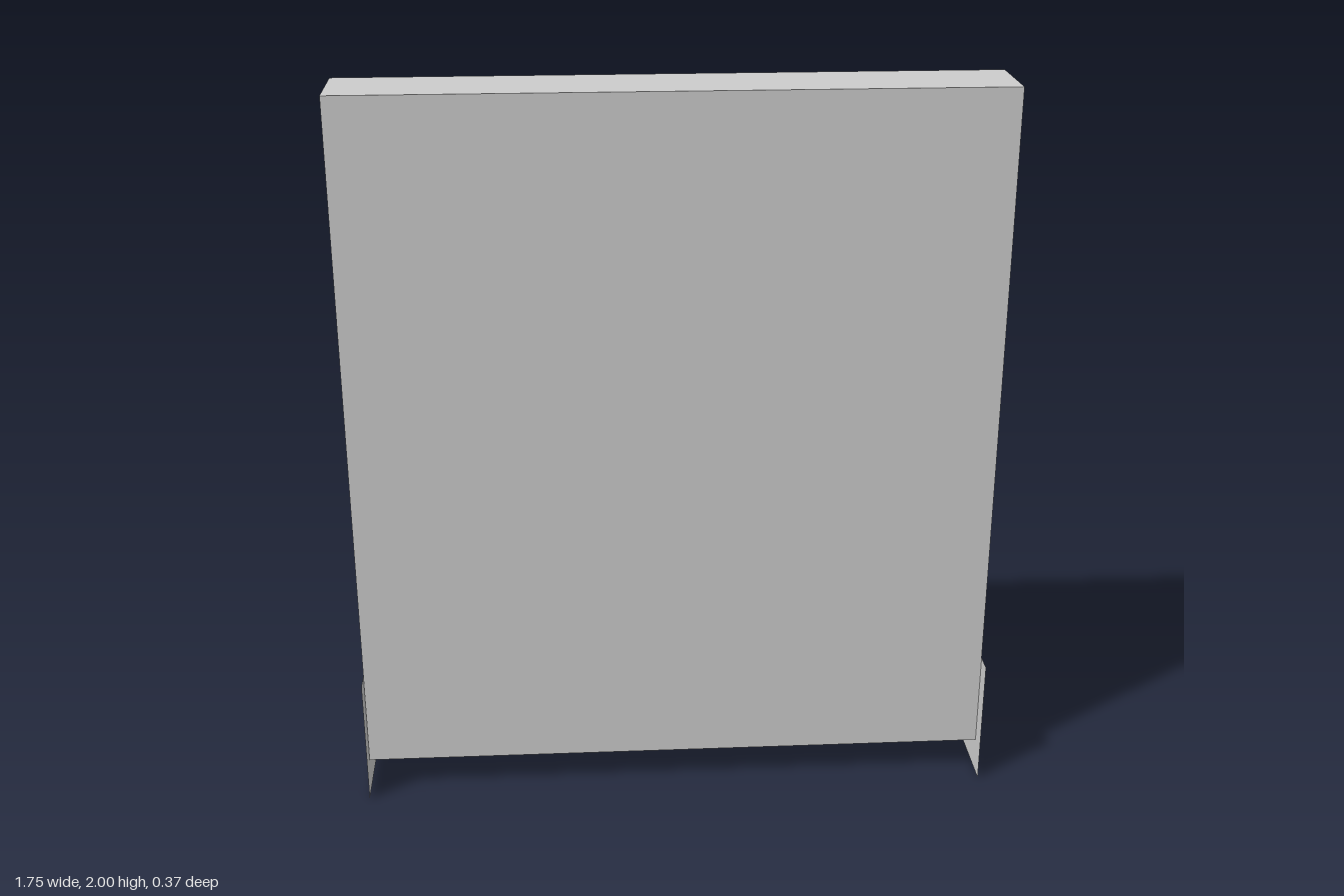
import * as THREE from 'three';

const HALF_WIDTH = 0.875;

export function createModel() {
  const group = new THREE.Group();
  const material = new THREE.MeshStandardMaterial({ color: 0xcccccc, flatShading: true });
  const thin = new THREE.MeshStandardMaterial({ color: 0xcccccc, side: THREE.DoubleSide });

  // Upright slab made of a front and a back panel, raised off the ground
  const bottom = 0.095, top = 2;
  const addPanel = (name, zBack, zFront) => {
    const geometry = new THREE.BoxGeometry(HALF_WIDTH * 2, top - bottom, zFront - zBack);
    const panel = new THREE.Mesh(geometry, material);
    panel.name = name;
    panel.position.set(0, (top + bottom) / 2, (zFront + zBack) / 2);
    group.add(panel);
  };
  addPanel('frontPanel', 0.015, 0.13);
  addPanel('backPanel', -0.088, 0.015);

  // Paper-thin foot plates flush with both ends
  for (const side of [-1, 1]) {
    const foot = new THREE.Mesh(new THREE.PlaneGeometry(0.366, 0.365), thin);
    foot.name = side > 0 ? 'leftFoot' : 'rightFoot';
    foot.rotation.y = side * Math.PI / 2;
    foot.position.set(side * (HALF_WIDTH + 0.001), 0.1825, 0);
    group.add(foot);
  }
  return group;
}
